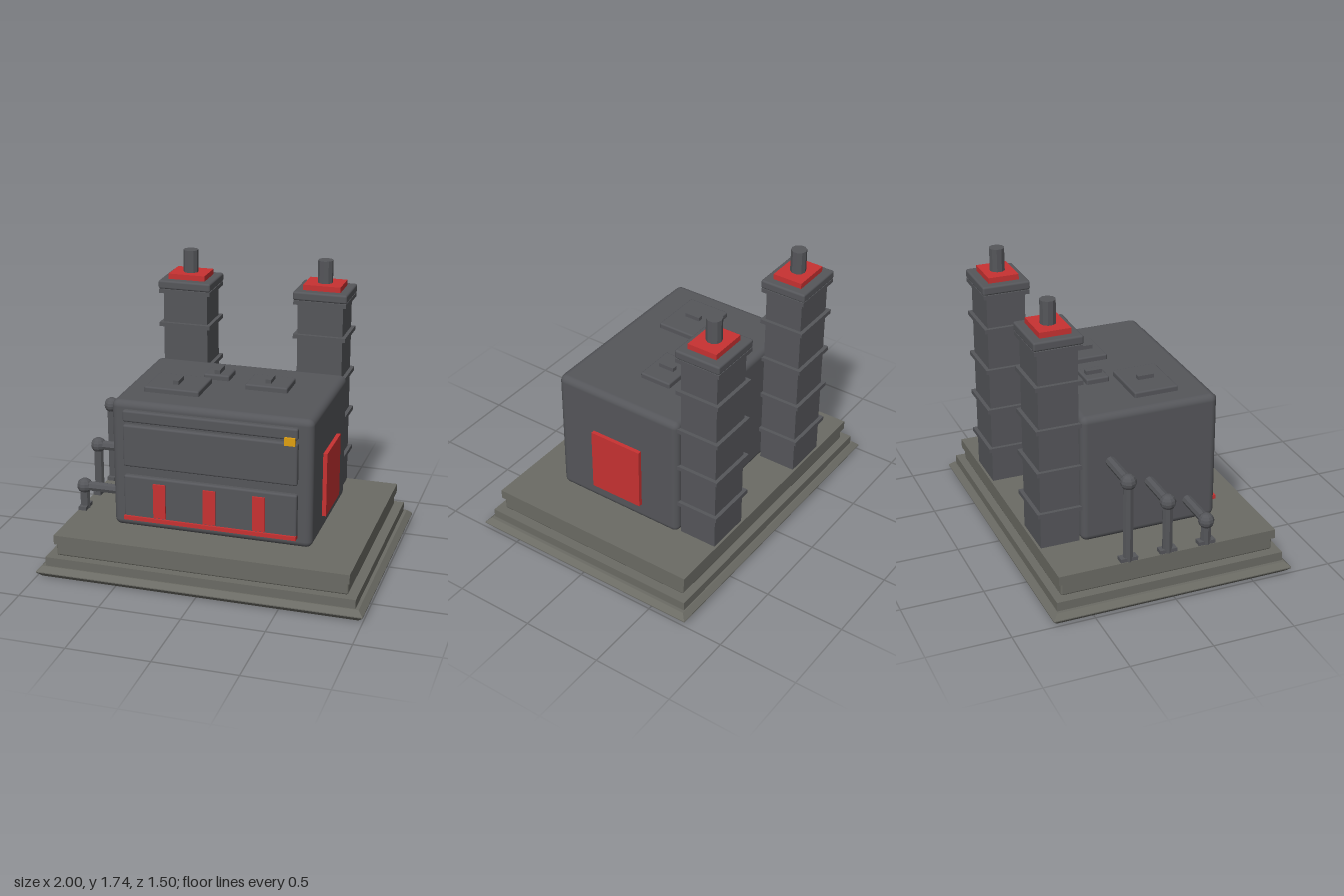
import * as THREE from 'three';
import { RoundedBoxGeometry } from 'three/addons/geometries/RoundedBoxGeometry.js';

const mat = (color) => new THREE.MeshStandardMaterial({ color, flatShading: false });
const flat = (color) => new THREE.MeshStandardMaterial({ color, flatShading: true });

export function createModel() {
  const model = new THREE.Group();
  const stone = mat(0x6b6b64), steel = mat(0x55565a), red = mat(0xc83232), amber = mat(0xe0a010);
  const stoneFlat = flat(0x6b6b64), steelFlat = flat(0x55565a);

  const add = (parent, name, geo, material, x = 0, y = 0, z = 0) => {
    const mesh = new THREE.Mesh(geo, material);
    mesh.name = name;
    mesh.position.set(x, y, z);
    parent.add(mesh);
    return mesh;
  };
  // Box given by its minimum and maximum on each axis, with optional rounded edges
  const box = (parent, name, material, [x0, x1], [y0, y1], [z0, z1], r = 0) => {
    const size = [x1 - x0, y1 - y0, z1 - z0];
    const geo = r ? new RoundedBoxGeometry(...size, 3, r) : new THREE.BoxGeometry(...size);
    return add(parent, name, geo, material, (x0 + x1) / 2, (y0 + y1) / 2, (z0 + z1) / 2);
  };
  const group = (name, x = 0, y = 0, z = 0) => {
    const g = new THREE.Group();
    g.name = name;
    g.position.set(x, y, z);
    model.add(g);
    return g;
  };

  // Stepped plinth; the lowest slab has a pointed edge
  const plinth = group('plinth');
  const w = 0.97, d = 0.72;
  const outline = new THREE.Shape([[-w, -d], [w, -d], [w, d], [-w, d]].map(([x, y]) => new THREE.Vector2(x, y)));
  const slab = new THREE.ExtrudeGeometry(outline, {
    depth: 0.006, bevelThickness: 0.03, bevelSize: 0.03, bevelSegments: 1,
  });
  slab.rotateX(-Math.PI / 2);
  add(plinth, 'bottomSlab', slab, stoneFlat, 0, 0.03, 0);
  box(plinth, 'lowerStep', stone, [-0.95, 0.95], [0.06, 0.122], [-0.712, 0.712]);
  box(plinth, 'upperStep', stone, [-0.895, 0.895], [0.122, 0.23], [-0.667, 0.667], 0.012);
  box(plinth, 'deck', stone, [-0.905, 0.905], [0.2, 0.257], [-0.682, 0.682]);

  // Main housing
  box(model, 'housing', steel, [-0.615, 0.615], [0.257, 1.06], [-0.425, 0.425], 0.04);
  box(model, 'sidePanel', red, [0.6, 0.64], [0.365, 0.765], [-0.172, 0.172]);

  // Front panels with red trim and a lamp
  const front = group('frontPanels');
  for (const [name, y0, y1] of [['topStrip', 0.942, 1.013], ['upperPanel', 0.66, 0.922], ['lowerPanel', 0.325, 0.602]])
    box(front, name, steel, [-0.535, 0.53], [y0, y1], [0.41, 0.455], 0.012);
  box(front, 'trimStrip', red, [-0.535, 0.53], [0.32, 0.345], [0.42, 0.468]);
  for (const x of [-0.31, 0, 0.303])
    box(front, 'trimBar', red, [x - 0.038, x + 0.038], [0.352, 0.568], [0.42, 0.466]);
  box(front, 'lamp', amber, [0.455, 0.518], [0.912, 0.96], [0.44, 0.47]);

  // Roof hatches with handles
  for (const [x0, x1, z0, z1] of [[-0.475, -0.135, -0.04, 0.233], [-0.207, -0.045, -0.23, -0.088], [0.088, 0.35, -0.185, 0.02]]) {
    const hatch = group('roofHatch');
    const x = (x0 + x1) / 2, z = (z0 + z1) / 2;
    box(hatch, 'hatchLid', steel, [x0, x1], [1.05, 1.093], [z0, z1], 0.01);
    box(hatch, 'hatchHandle', steel, [x - 0.018, x + 0.018], [1.085, 1.117], [z - 0.05, z + 0.05]);
  }

  // Rectangular chimneys with bands, cap and flue
  for (const x of [-0.434, 0.434]) {
    const chimney = group('chimney', x, 0, -0.548);
    const tier = (name, material, wide, deep, y0, y1, r) =>
      box(chimney, name, material, [-wide / 2, wide / 2], [y0, y1], [-deep / 2, deep / 2], r);
    tier('chimneyShaft', steel, 0.285, 0.24, 0.25, 1.52);
    for (const y of [0.48, 0.747, 1.013, 1.28, 1.497]) tier('chimneyBand', steel, 0.33, 0.286, y - 0.013, y + 0.013);
    tier('chimneyCap', steel, 0.338, 0.294, 1.512, 1.566, 0.012);
    tier('chimneyPlate', red, 0.235, 0.188, 1.56, 1.6);
    add(chimney, 'flue', new THREE.CylinderGeometry(0.047, 0.047, 0.15, 10), steelFlat, 0, 1.666, 0);
  }

  // Elbow pipes stepping down from back to front
  const px = -0.877, deckY = 0.255;
  for (const [z, y] of [[-0.25, 0.763], [-0.005, 0.582], [0.24, 0.405]]) {
    const pipe = group('elbowPipe', px, 0, z);
    const run = 0.29;
    add(pipe, 'horizontalPipe', new THREE.CylinderGeometry(0.031, 0.031, run, 8), steelFlat, run / 2, y, 0)
      .rotation.z = Math.PI / 2;
    add(pipe, 'verticalPipe', new THREE.CylinderGeometry(0.031, 0.031, y - deckY, 8), steelFlat, 0, (y + deckY) / 2, 0);
    add(pipe, 'elbowJoint', new THREE.SphereGeometry(0.048, 10, 8), steelFlat, 0, y, 0);
    box(pipe, 'pipeFoot', steel, [-0.025, 0.025], [0.25, 0.28], [-0.053, 0.053]);
  }

  return model;
}
